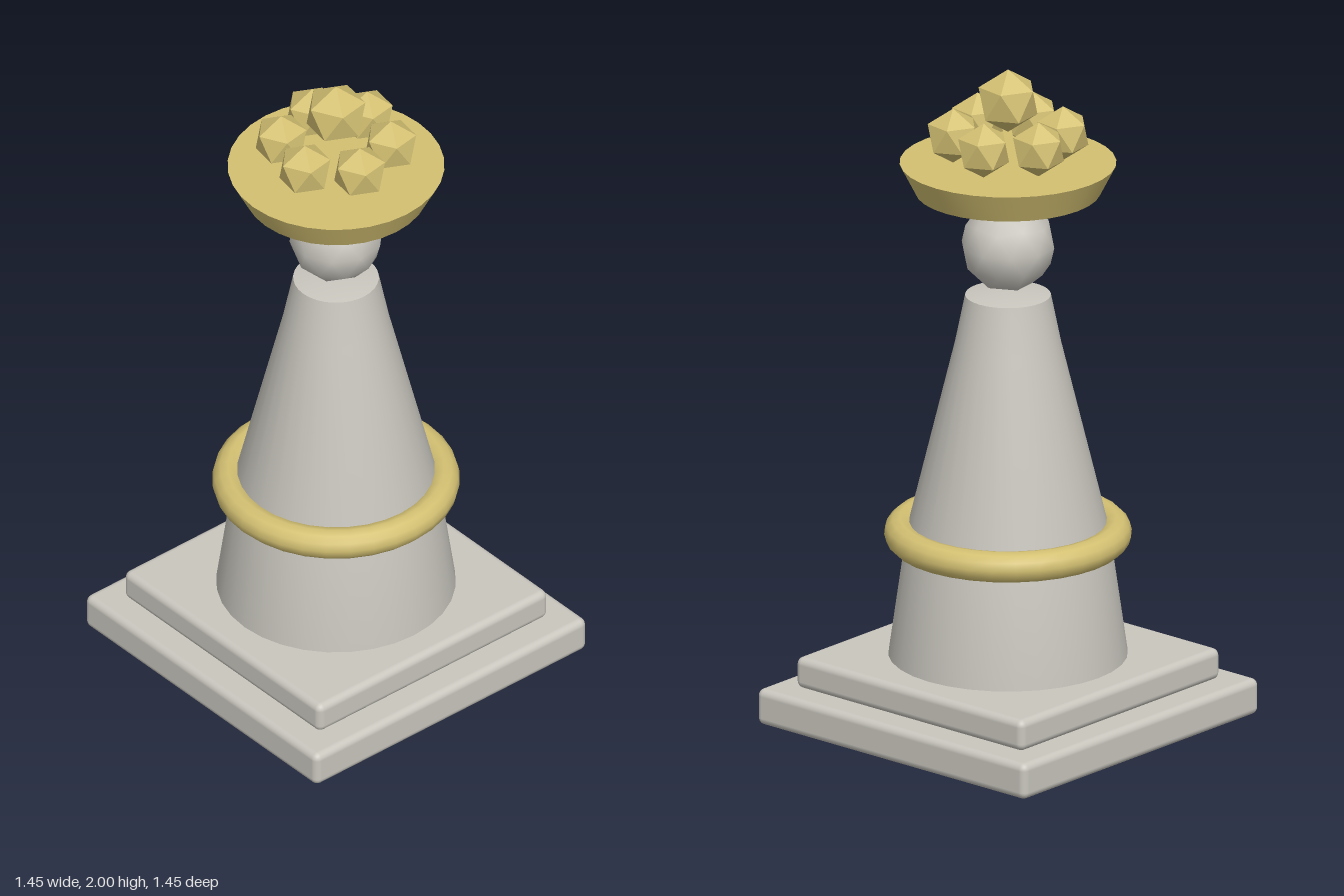
import * as THREE from 'three';
import { toCreasedNormals } from 'three/addons/utils/BufferGeometryUtils.js';
import { RoundedBoxGeometry } from 'three/addons/geometries/RoundedBoxGeometry.js';

const stone = new THREE.MeshStandardMaterial({ color: 0xc9c6be });
stone.name = 'stone';
const gold = new THREE.MeshStandardMaterial({ color: 0xd3c072 });
gold.name = 'gold';

export function createModel() {
  const group = new THREE.Group();

  const add = (name, geometry, material, x = 0, y = 0, z = 0) => {
    const mesh = new THREE.Mesh(geometry, material);
    mesh.name = name;
    mesh.position.set(x, y, z);
    group.add(mesh);
    return mesh;
  };

  // Turned solid from [radius, height] pairs, with sharp rims
  const turned = (profile) => toCreasedNormals(
    new THREE.LatheGeometry(profile.map(([r, y]) => new THREE.Vector2(r, y)), 32), 0.5);

  // Icosahedron standing on one of its corners
  const icosahedron = (radius, detail = 0) => new THREE.IcosahedronGeometry(radius, detail)
    .rotateX(-Math.atan((1 + Math.sqrt(5)) / 2))
    .rotateY(Math.PI / 2);

  // Two stepped square slabs, set diagonally
  const slab = (name, side, bottom, top) => {
    const geometry = new RoundedBoxGeometry(side, top - bottom, side, 3, 0.022);
    add(name, geometry, stone, 0, (bottom + top) / 2, 0).rotation.y = Math.PI / 4;
  };
  slab('lowerBase', 1.04, 0, 0.11);
  slab('upperBase', 0.88, 0.11, 0.205);

  // Tapered body with a slightly domed top
  add('body', turned([
    [0, 0.19], [0.35, 0.19], [0.349, 0.205], [0.296, 0.58],
    [0.155, 1.16], [0.125, 1.308], [0, 1.328],
  ]), stone);

  // Ring around the body
  add('bodyRing', new THREE.TorusGeometry(0.315, 0.046, 12, 32).rotateX(Math.PI / 2),
    gold, 0, 0.577, 0);

  // Ball neck
  add('neckBall', icosahedron(0.139, 1), stone, 0, 1.461, 0);

  // Flared dish
  add('crownDish', turned([[0, 1.597], [0.27, 1.625], [0.316, 1.715], [0, 1.715]]), gold);

  // Six gems in a circle and a larger one above them
  const gem = icosahedron(0.083);
  for (let i = 0; i < 6; i++) {
    const a = i * Math.PI / 3;
    add('crownGem', gem, gold, 0.16 * Math.cos(a), 1.8, 0.16 * Math.sin(a));
  }
  add('topGem', icosahedron(0.096), gold, 0, 1.904, 0);

  return group;
}
